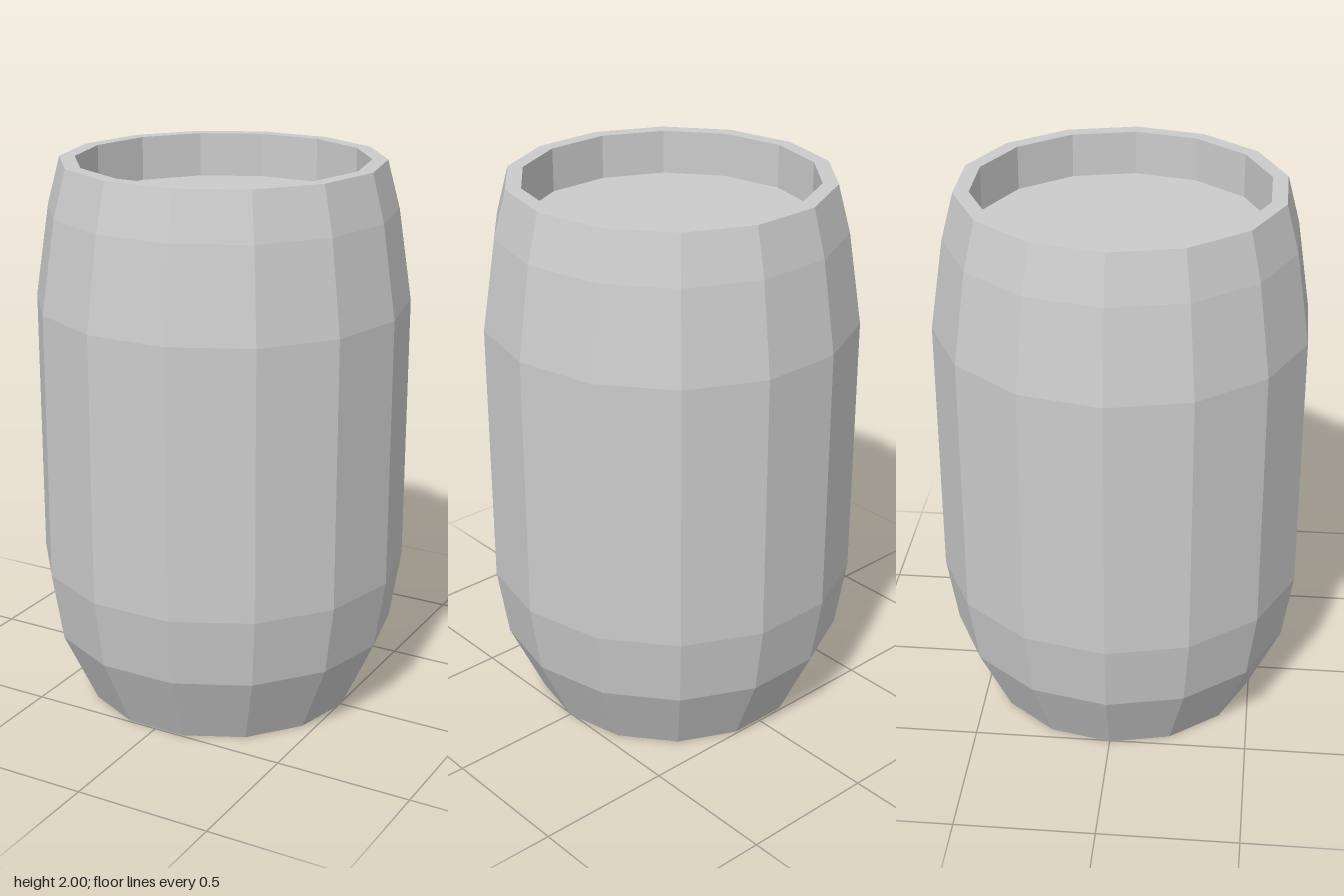
import * as THREE from 'three';

const SIDES = 14;

export function createModel() {
  const group = new THREE.Group();
  group.name = 'barrel';
  const material = new THREE.MeshStandardMaterial({ color: 0xcccccc, flatShading: true });

  function add(name, geometry) {
    const mesh = new THREE.Mesh(geometry, material);
    mesh.name = name;
    group.add(mesh);
    return mesh;
  }

  // Ring of faceted bands from [radius, height] pairs, with a corner on the x axis
  function ring(profile) {
    const points = profile.map(([r, y]) => new THREE.Vector2(r, y));
    return new THREE.LatheGeometry(points, SIDES, Math.PI / 2);
  }

  // Bulging outer wall
  add('outerWall', ring([
    [0.505, 0], [0.63, 0.27], [0.67, 0.525], [0.67, 1.5], [0.62, 1.83], [0.575, 2],
  ]));

  // Flat rim and the straight inside wall of the recess
  add('rim', ring([[0.575, 2], [0.52, 2], [0.52, 1.84]]));

  // Sunken lid and flat base
  const lid = add('lid', new THREE.CircleGeometry(0.52, SIDES));
  lid.rotation.x = -Math.PI / 2;
  lid.position.y = 1.84;

  const base = add('base', new THREE.CircleGeometry(0.505, SIDES));
  base.rotation.x = Math.PI / 2;

  return group;
}
